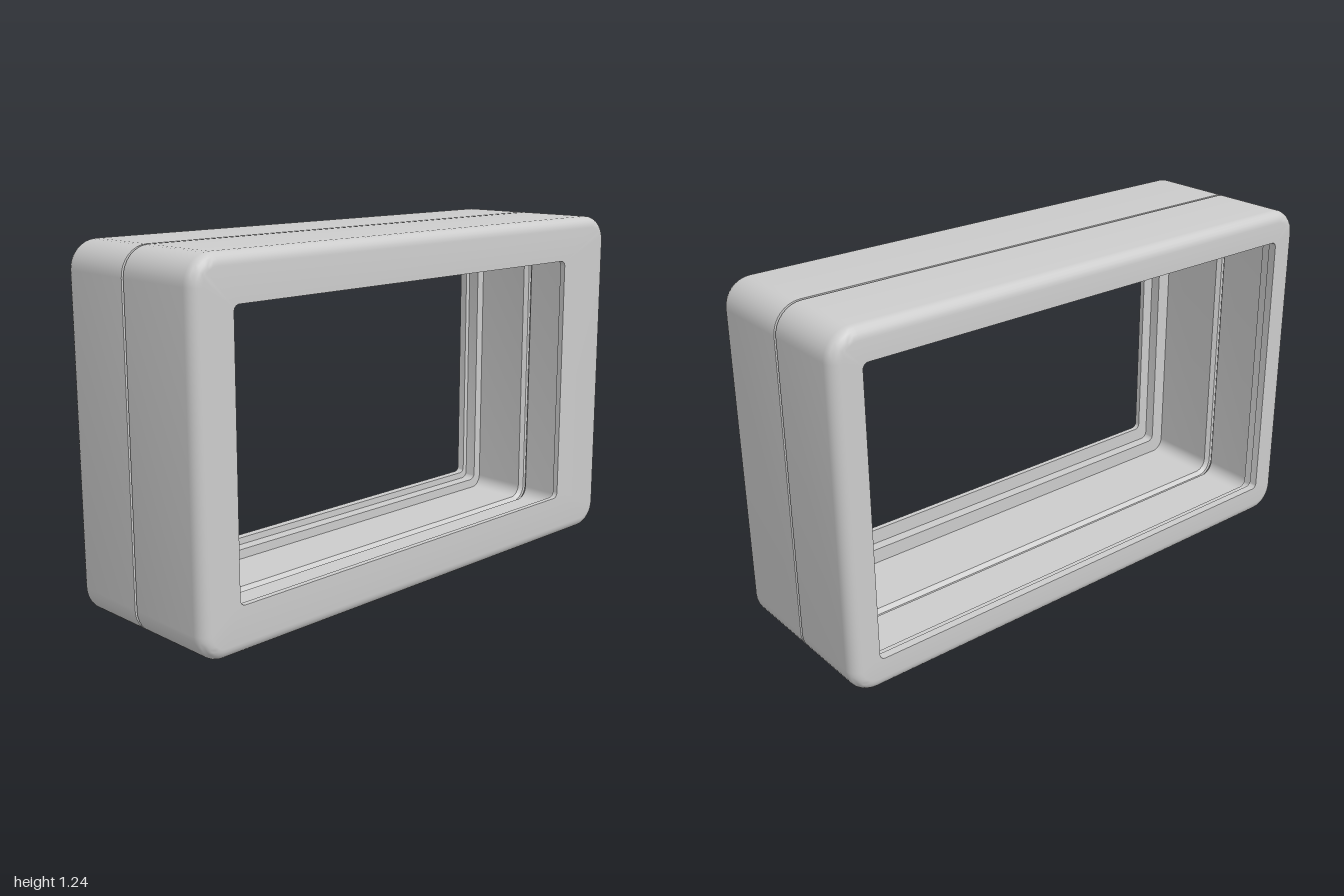
import * as THREE from 'three';
import { toCreasedNormals } from 'three/addons/utils/BufferGeometryUtils.js';

const H = 1.235, FACE = 0.32, WALL = 0.05, FILLET = 0.04, CORNER = 0.095;
const STEPS = 8; // segments per rounded corner

// Rounded rectangle, counter-clockwise seen from +z
function ring(x0, x1, y0, y1, r, z) {
  const corners = [[x1 - r, y0 + r], [x1 - r, y1 - r], [x0 + r, y1 - r], [x0 + r, y0 + r]];
  const pts = [];
  corners.forEach(([cx, cy], k) => {
    for (let i = 0; i <= STEPS; i++) {
      const a = (k - 1 + i / STEPS) * Math.PI / 2;
      pts.push([cx + r * Math.cos(a), cy + r * Math.sin(a), z]);
    }
  });
  return pts;
}

// Rounded rectangle inset evenly from the outer outline
function insetRing(d, z, r = Math.max(CORNER - d, 0.025)) {
  return ring(-1 + d, 1 - d, d, H - d, r, z);
}

// Skin a closed loop of rings
function skin(rings) {
  const n = rings[0].length, index = [];
  rings.forEach((_, j) => {
    const k = (j + 1) % rings.length;
    for (let i = 0; i < n; i++) {
      const m = (i + 1) % n;
      const a = j * n + i, b = j * n + m, c = k * n + m, d = k * n + i;
      index.push(a, b, c, a, c, d);
    }
  });
  const geo = new THREE.BufferGeometry();
  geo.setAttribute('position', new THREE.Float32BufferAttribute(rings.flat(2), 3));
  geo.setIndex(index);
  return toCreasedNormals(geo, 0.6);
}

// One half of the case; side is +1 for the front, -1 for the back
function shellHalf({ side, seam, hole, ledge, inner, lip }) {
  const rings = [insetRing(0, side * seam)];
  // rounded outer edge
  for (let i = 0; i <= 6; i++) {
    const a = i / 6 * Math.PI / 2;
    const d = FILLET * (1 - Math.cos(a));
    rings.push(insetRing(d, side * (FACE - FILLET + FILLET * Math.sin(a)), CORNER - d));
  }
  // window opening, panel recess, inner wall and bevelled seam
  rings.push(
    ring(...hole, 0.02, side * FACE),
    ring(...hole, 0.02, side * lip),
    insetRing(ledge, side * lip),
    insetRing(ledge, side * inner),
    insetRing(WALL, side * inner),
    insetRing(WALL, side * (seam + 0.014)),
    insetRing(WALL - 0.014, side * seam),
  );
  if (side < 0) rings.reverse();
  return skin(rings);
}

export function createModel() {
  const group = new THREE.Group();
  group.name = 'displayCase';
  const material = new THREE.MeshStandardMaterial({ color: 0xcccccc });
  const add = (name, options) => {
    const mesh = new THREE.Mesh(shellHalf(options), material);
    mesh.name = name;
    group.add(mesh);
  };

  // Front bezel with its off-centre window
  add('frontShell', {
    side: 1, seam: -0.008, hole: [-0.85, 0.74, 0.16, 1.08],
    ledge: 0.105, inner: 0.26, lip: 0.3,
  });
  // Back frame with a wider opening, separated by a narrow seam
  add('backShell', {
    side: -1, seam: 0.018, hole: [-0.895, 0.895, 0.11, 1.125],
    ledge: 0.085, inner: 0.245, lip: 0.29,
  });
  return group;
}
